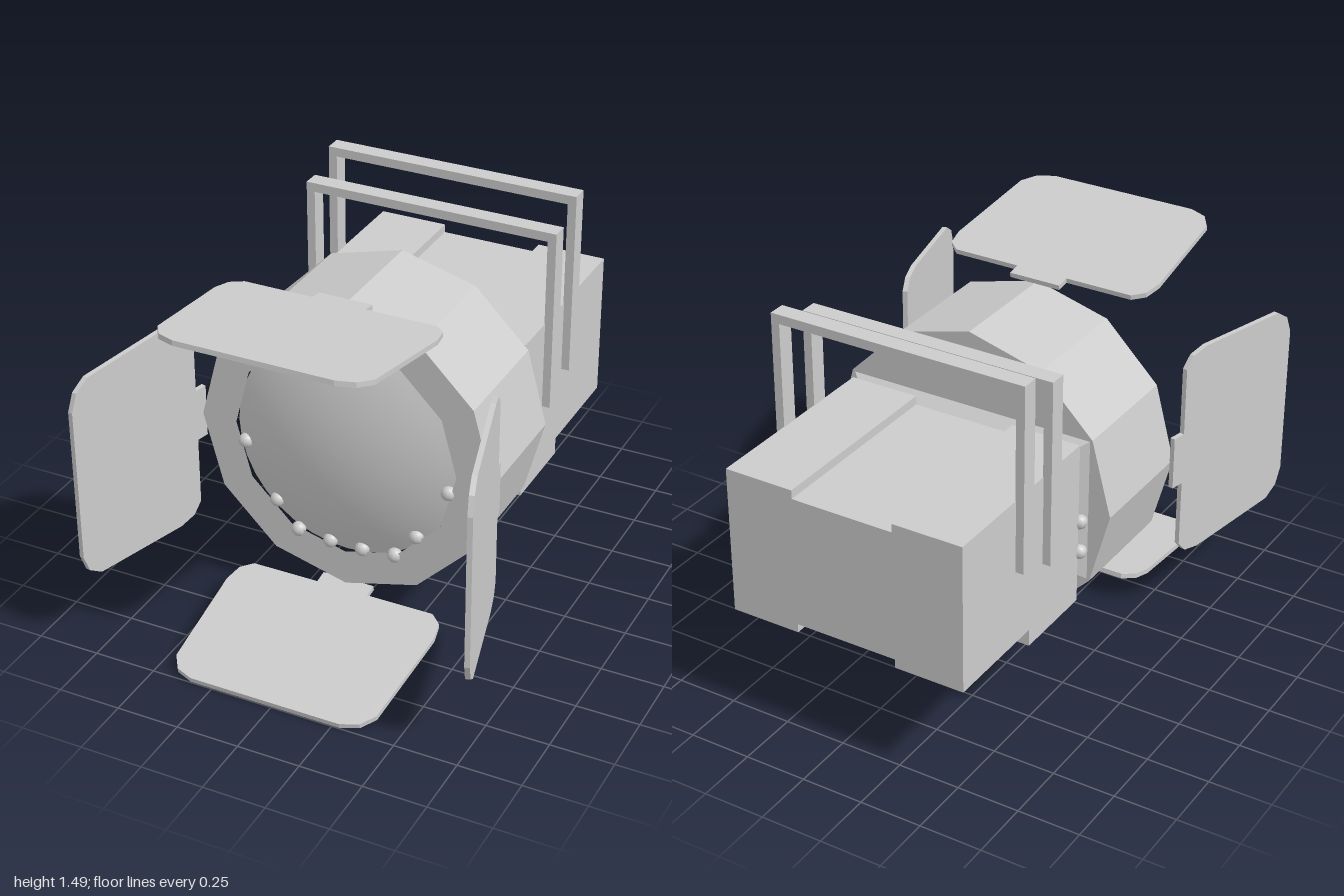
import * as THREE from 'three';

const CX = -0.03, CY = 0.74; // optical axis

export function createModel() {
  const root = new THREE.Group();
  const grey = new THREE.MeshStandardMaterial({ color: 0xcccccc });
  const flat = new THREE.MeshStandardMaterial({ color: 0xcccccc, flatShading: true });

  const add = (name, geo, x = 0, y = 0, z = 0, parent = root, mat = flat) => {
    const mesh = new THREE.Mesh(geo, mat);
    mesh.name = name;
    mesh.position.set(x, y, z);
    parent.add(mesh);
    return mesh;
  };
  const shapeOf = pts => new THREE.Shape(pts.map(p => new THREE.Vector2(p[0], p[1])));
  const extrude = (shape, depth) => new THREE.ExtrudeGeometry(shape, { depth, bevelEnabled: false });
  const ring = r => Array.from({ length: 12 }, (_, i) =>
    [r * Math.sin(i * Math.PI / 6), r * Math.cos(i * Math.PI / 6)]);

  // Twelve-sided barrel: open at the front, closed at the back
  const tube = shapeOf(ring(0.605));
  tube.holes.push(shapeOf(ring(0.46)));
  add('barrel', extrude(tube, 0.455), CX, CY, -0.12);
  add('barrelBack', extrude(shapeOf(ring(0.605)), 0.04), CX, CY, -0.16);

  // Shallow domed lens bulging slightly out of the barrel
  const R = 1.2, lensPts = [];
  for (let i = 0; i <= 10; i++) {
    const r = 0.46 * (1 - i / 10);
    lensPts.push(new THREE.Vector2(r, Math.sqrt(R * R - r * r) - R));
  }
  const lensMat = grey.clone();
  lensMat.side = THREE.DoubleSide;
  add('lens', new THREE.LatheGeometry(lensPts, 36).rotateX(Math.PI / 2), CX, CY, 0.403, root, lensMat);

  // Small studs around the lower lens edge and behind the barrel
  const stud = new THREE.SphereGeometry(0.03, 10, 8);
  for (const s of [-1, 1]) {
    for (const [x, y] of [[0.425, -0.08], [0.295, -0.31], [0.205, -0.42], [0.068, -0.432]])
      add('lensStud', stud, CX + s * x, CY + y, 0.325, root, grey);
    for (const y of [-0.04, -0.17])
      add('rearStud', stud, CX + s * 0.49, CY + y, -0.18, root, grey);
  }

  // Neck tapering from the barrel towards the housing
  const neck = new THREE.BoxGeometry(1.04, 0.6, 0.05);
  const p = neck.attributes.position;
  for (let i = 0; i < p.count; i++)
    if (p.getZ(i) < 0) p.setXY(i, p.getX(i) * 0.88, p.getY(i) * 0.86);
  add('neck', neck, CX, CY, -0.18);

  // Housing sections with a shallow groove along the top and the bottom
  const housing = (name, bottom, top, depth, zBack) => {
    const w = 0.495, g = 0.21, d = 0.035;
    add(name, extrude(shapeOf([
      [-w, bottom], [-g, bottom], [-g, bottom + d], [g, bottom + d], [g, bottom], [w, bottom],
      [w, top], [g, top], [g, top - d], [-g, top - d], [-g, top], [-w, top],
    ]), depth), CX, 0, zBack);
  };
  housing('rearHousing', 0.435, 1.035, 0.45, -1);
  housing('frontHousing', 0.365, 1.035, 0.35, -0.55);

  // Two U-shaped carrying frames
  const frame = (name, low, high, z) => {
    const o = 0.5275, i = 0.4925;
    add(name, extrude(shapeOf([
      [-o, low], [-i, low], [-i, high - 0.037], [i, high - 0.037],
      [i, low], [o, low], [o, high], [-o, high],
    ]), 0.07), CX, 0, z);
  };
  frame('frontHandle', 0.67, 1.422, -0.46);
  frame('rearHandle', 0.74, 1.495, -0.65);

  // Four barn doors, each with a hinge tab, opened at its own tilt
  const half = [[0.108, 0], [0.108, 0.055], [0.385, 0.055], [0.43, 0.095], [0.445, 0.17],
    [0.42, 0.61], [0.38, 0.67], [0.31, 0.697]];
  const outline = [...half, ...half.map(([x, y]) => [-x, y]).reverse()];
  const doorGeo = extrude(shapeOf(outline), 0.02).translate(0, 0, -0.01).rotateX(Math.PI / 2);
  const doors = [['topDoor', 0, 0.14], ['leftDoor', -Math.PI / 2, 0.275],
    ['bottomDoor', Math.PI, 0.16], ['rightDoor', Math.PI / 2, 0.21]];
  for (const [name, turn, tilt] of doors) {
    const pivot = new THREE.Group();
    pivot.name = name;
    pivot.position.set(CX, CY, 0);
    pivot.rotation.z = turn;
    add(name + 'Panel', doorGeo, 0, 0.613, 0.31, pivot).rotation.x = -tilt;
    root.add(pivot);
  }
  return root;
}
